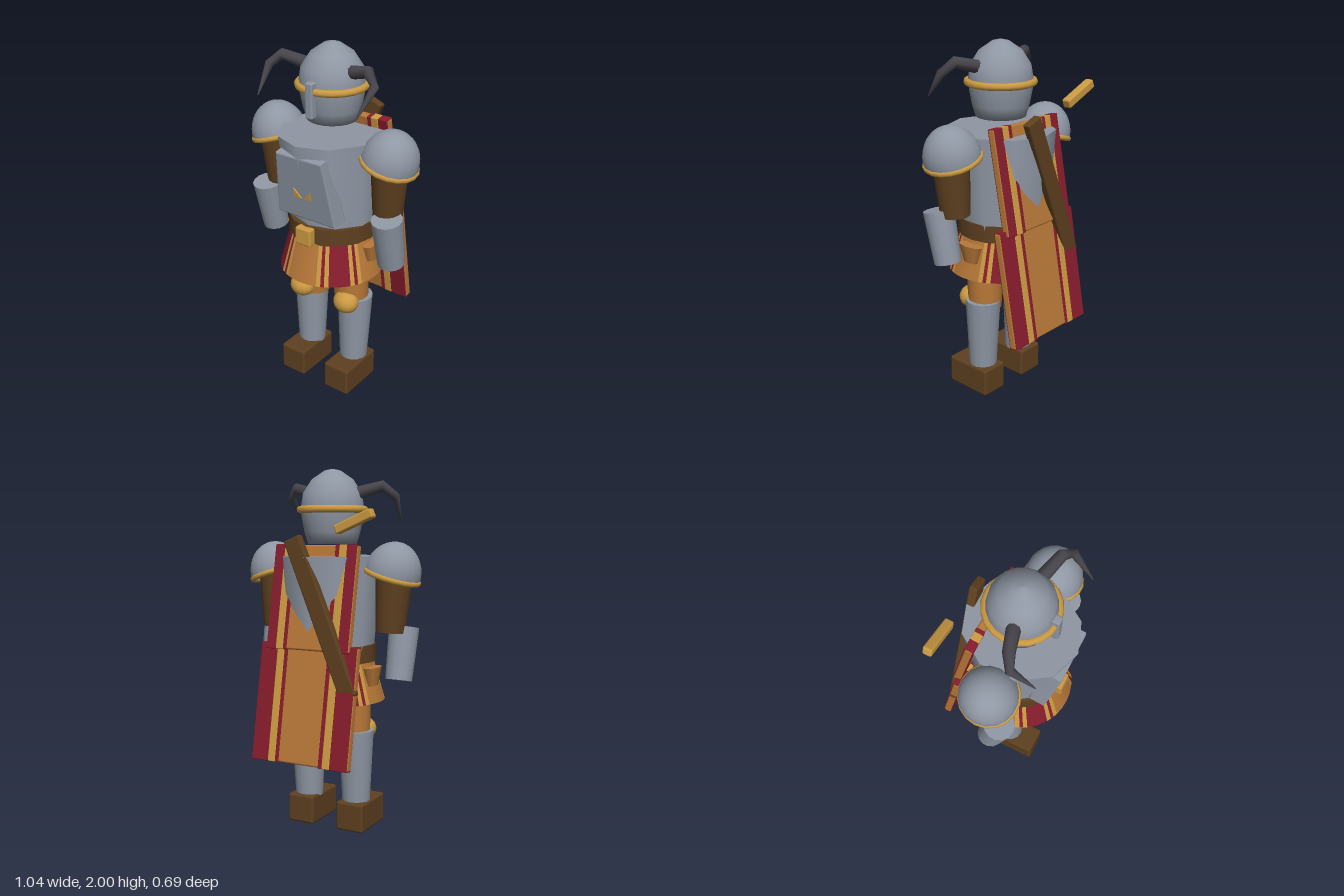
import * as THREE from 'three';
import { RoundedBoxGeometry } from 'three/addons/geometries/RoundedBoxGeometry.js';

const mat = (name, color, side = THREE.FrontSide) => {
  const m = new THREE.MeshStandardMaterial({ color, side });
  m.name = name;
  return m;
};

export function createModel() {
  const model = new THREE.Group();
  model.name = 'armouredWarrior';
  const D = THREE.DoubleSide;
  const steel = mat('steel', 0x8f97a4, D);
  const gold = mat('gold', 0xcb9a42, D);
  const crimson = mat('crimson', 0x861c2c, D);
  const orange = mat('orange', 0xb87838, D);
  const brown = mat('leatherBrown', 0x5e4020);
  const horn = mat('hornGrey', 0x47454c);

  const add = (name, geo, material, x = 0, y = 0, z = 0, parent = model) => {
    const m = new THREE.Mesh(geo, material);
    m.name = name;
    m.position.set(x, y, z);
    parent.add(m);
    return m;
  };
  const box = (w, h, d, r = 0.01) => new RoundedBoxGeometry(w, h, d, 2, r);

  // Tapered limb between two points
  const limb = (name, a, b, ra, rb, material, sides = 14) => {
    const top = new THREE.Vector3(...a), bottom = new THREE.Vector3(...b);
    const axis = top.clone().sub(bottom);
    const m = add(name, new THREE.CylinderGeometry(ra, rb, axis.length(), sides), material);
    m.position.copy(top).add(bottom).multiplyScalar(0.5);
    m.quaternion.setFromUnitVectors(new THREE.Vector3(0, 1, 0), axis.normalize());
    return m;
  };

  // Ring-by-ring cone with different radii and centre at top and bottom
  const flared = (yTop, yBot, top, bot, sides, start = 0, length = Math.PI * 2, open = false) => {
    const g = new THREE.CylinderGeometry(1, 1, 1, sides, 1, open, start, length);
    const p = g.attributes.position;
    for (let i = 0; i < p.count; i++) {
      const isTop = p.getY(i) > 0;
      const [rx, rz, cz] = isTop ? top : bot;
      p.setXYZ(i, p.getX(i) * rx, isTop ? yTop : yBot, p.getZ(i) * rz + cz);
    }
    if (open) g.computeVertexNormals();
    return g;
  };

  // Helmet
  const profile = [[0, 1.595], [0.135, 1.595], [0.155, 1.66], [0.17, 1.74], [0.173, 1.8],
    [0.162, 1.87], [0.115, 1.942], [0.045, 1.99], [0, 2]].map(([x, y]) => new THREE.Vector2(x, y));
  add('helmet', new THREE.LatheGeometry(profile, 20), steel, 0, 0, 0.035);
  add('helmetBand', new THREE.TorusGeometry(0.178, 0.02, 8, 20), gold, 0, 1.78, 0.035).rotation.x = Math.PI / 2;
  add('noseGuard', box(0.046, 0.19, 0.045), steel, 0, 1.735, 0.215);

  // Horn built from rings along a bent path
  const hornGeometry = (s) => {
    const path = [[0.13, 1.865, 0.06, 0.036], [0.27, 1.903, 0.105, 0.031],
      [0.33, 1.85, 0.14, 0.024], [0.31, 1.715, 0.262, 0.003]];
    const pts = path.map(([x, y, z]) => new THREE.Vector3(s * x, y, z));
    const n = 8, pos = [], idx = [];
    pts.forEach((p, i) => {
      const t = pts[Math.min(i + 1, 3)].clone().sub(pts[Math.max(i - 1, 0)]).normalize();
      const u = new THREE.Vector3(0, 0, 1).cross(t).normalize();
      const v = t.clone().cross(u);
      for (let k = 0; k < n; k++) {
        const a = k / n * Math.PI * 2;
        const q = p.clone().addScaledVector(u, Math.cos(a) * path[i][3]).addScaledVector(v, Math.sin(a) * path[i][3]);
        pos.push(q.x, q.y, q.z);
        if (i < 3) {
          const A = i * n + k, B = i * n + (k + 1) % n;
          idx.push(A, B, A + n, B, B + n, A + n);
        }
      }
    });
    const g = new THREE.BufferGeometry();
    g.setAttribute('position', new THREE.Float32BufferAttribute(pos, 3));
    g.setIndex(idx);
    g.computeVertexNormals();
    return g;
  };

  // Torso, breastplate and its small ornaments
  add('torso', flared(1.53, 1.02, [0.278, 0.31, 0.035], [0.245, 0.235, 0.01], 10), steel);
  const plate = new THREE.Shape([[-0.18, 1.11], [0.18, 1.11], [0.14, 1.47], [-0.14, 1.47]]
    .map(([x, y]) => new THREE.Vector2(x, y - 1.29)));
  const plateGeo = new THREE.ExtrudeGeometry(plate, { depth: 0.08, bevelSize: 0.008, bevelThickness: 0.008, bevelSegments: 2 });
  add('breastplate', plateGeo, steel, 0, 1.29, 0.212).rotation.x = 0.165;
  for (const s of [-1, 1]) {
    const tri = new THREE.Shape([[0, 0], [0.045, 0], [0.045, 0.05]].map(([x, y]) => new THREE.Vector2(s * x, y)));
    add('chestOrnament', new THREE.ExtrudeGeometry(tri, { depth: 0.008, bevelEnabled: false }), gold, s * 0.008, 1.225, 0.29).rotation.x = 0.165;
  }

  // Belt, buckle and hips
  add('belt', flared(1.05, 0.955, [0.25, 0.25, 0.022], [0.25, 0.25, 0.024], 16), brown);
  add('buckle', box(0.1, 0.1, 0.05), gold, 0, 1, 0.28);
  add('hips', flared(0.97, 0.74, [0.2, 0.21, 0.03], [0.19, 0.2, 0.03], 14), orange);

  // Striped skirt: the same colour run in every quarter
  const bands = [[-19, 19, orange], [19, 24, gold], [24, 28, crimson], [28, 33, gold],
    [33, 57, crimson], [57, 62, gold], [62, 66, crimson], [66, 71, gold]];
  for (let q = 0; q < 4; q++) for (const [a, b, m] of bands) {
    const start = (q * 90 + a) * Math.PI / 180, len = (b - a) * Math.PI / 180;
    add('skirtStripe', flared(0.98, 0.735, [0.225, 0.235, 0.03], [0.292, 0.288, 0.045],
      Math.ceil((b - a) / 12), start, len, true), m);
  }

  for (const s of [-1, 1]) {
    add('horn', hornGeometry(s), horn);

    // Shoulder guard with rim, tilted outwards
    const shoulder = new THREE.Group();
    shoulder.name = 'shoulderGuard';
    shoulder.position.set(s * 0.362, 1.432, 0.037);
    shoulder.rotation.z = -s * 0.3;
    model.add(shoulder);
    const dome = new THREE.SphereGeometry(0.154, 18, 10, 0, Math.PI * 2, 0, Math.PI / 2);
    add('shoulderDome', dome, steel, 0, 0, 0, shoulder).scale.y = 1.16;
    add('shoulderRim', new THREE.TorusGeometry(0.147, 0.016, 8, 18), gold, 0, -0.005, 0, shoulder).rotation.x = Math.PI / 2;

    // Arms
    limb('upperArm', [s * 0.372, 1.45, 0.045], [s * 0.357, 1.125, 0.03], 0.102, 0.08, brown);
    limb('forearmGuard', [s * 0.403, 1.148, 0.11], [s * 0.401, 0.865, 0.05], 0.084, 0.074, steel);

    // Hip pouch
    const pouch = add('hipPouch', new THREE.CylinderGeometry(0.085, 0.05, 0.1, 8), orange, s * 0.26, 0.88, 0.02);
    pouch.scale.x = 0.45;

    // Legs and feet
    limb('thigh', [s * 0.12, 0.82, 0.04], [s * 0.135, 0.52, 0.035], 0.11, 0.095, orange);
    limb('shinGuard', [s * 0.155, 0.57, 0.03], [s * 0.152, 0.13, 0.038], 0.1, 0.078, steel);
    add('kneeCap', new THREE.SphereGeometry(0.075, 16, 12), gold, s * 0.155, 0.56, 0.12).scale.set(1, 0.87, 0.87);
    add('foot', box(0.165, 0.165, 0.285, 0.015), brown, s * 0.157, 0.0825, 0.082);
  }

  // Shield of two striped panels on the back
  const panel = (name, halfWidth, length, y, z, tilt) => {
    const g = new THREE.Group();
    g.name = name;
    g.position.set(0, y, z);
    g.rotation.x = tilt;
    model.add(g);
    add('panelCore', box(halfWidth * 2, length, 0.044), orange, 0, 0, 0, g);
    for (const s of [-1, 1]) {
      for (const [a, b, m] of [[0.19, halfWidth - 0.004, crimson], [0.145, 0.19, gold], [0.122, 0.145, crimson]]) {
        add('panelStripe', box(b - a, length + 0.005, 0.05, 0.004), m, s * (a + b) / 2, 0, 0, g);
      }
    }
  };
  panel('upperShield', 0.253, 0.565, 1.31, -0.18, 0.19);
  panel('lowerShield', 0.297, 0.64, 0.745, -0.265, 0.18);

  // Sheathed sword and its loose cross guard
  const tilt = -0.393;
  add('scabbard', box(0.1, 0.89, 0.046), brown, -0.09, 1.215, -0.251).rotation.z = tilt;
  add('crossGuard', box(0.225, 0.05, 0.05), gold, -0.29, 1.71, -0.26).rotation.z = tilt;

  return model;
}
